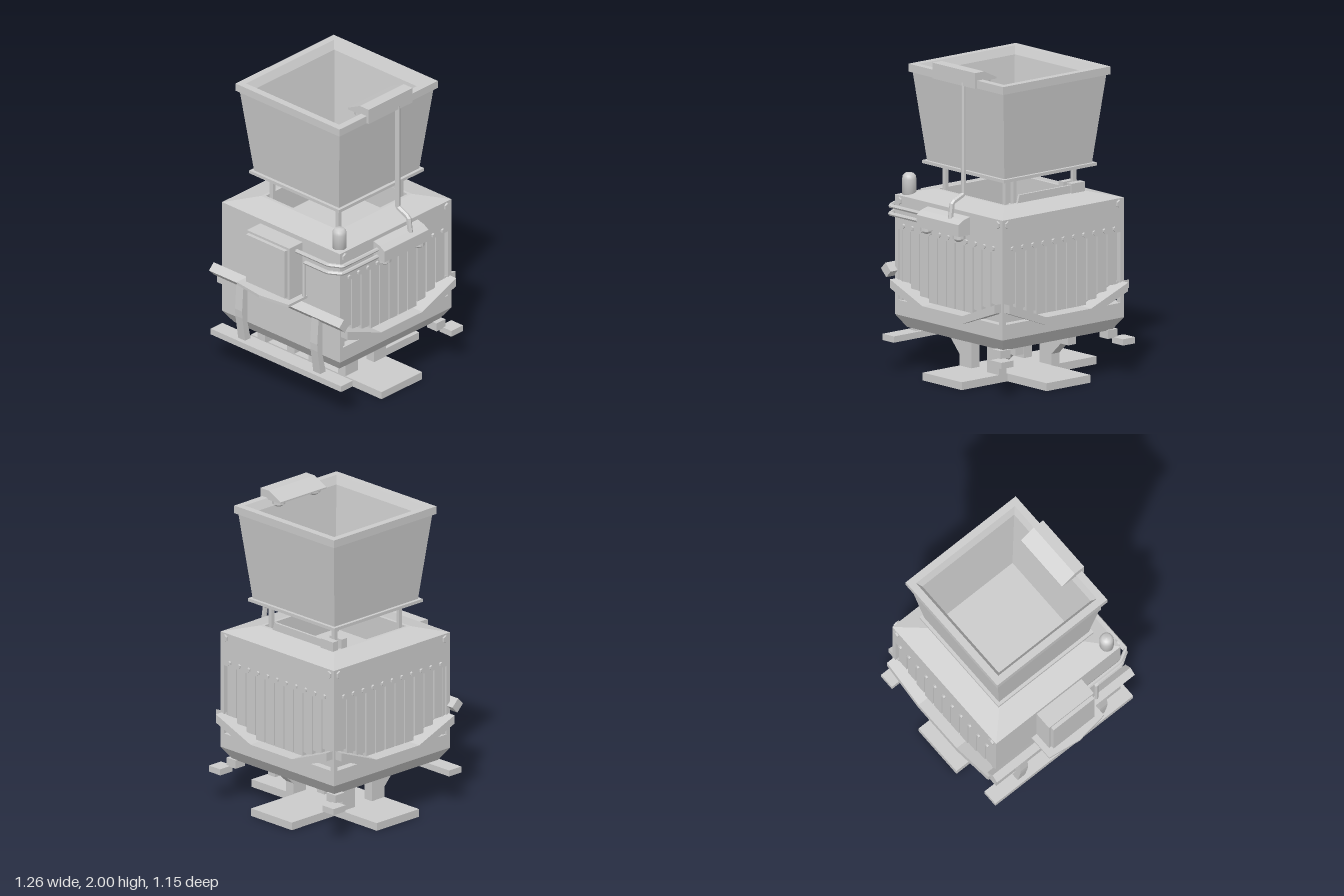
import * as THREE from 'three';

const CX = 0.073, CZ = -0.025; // shared centre of body, hopper and base

export function createModel() {
  const model = new THREE.Group();
  const flat = new THREE.MeshStandardMaterial({ color: 0xcccccc, flatShading: true, side: THREE.DoubleSide });
  const smooth = new THREE.MeshStandardMaterial({ color: 0xcccccc });

  const add = (name, geo, parent = model, mat = flat) => {
    const mesh = new THREE.Mesh(geo, mat);
    mesh.name = name;
    parent.add(mesh);
    return mesh;
  };
  // box from its min and max corners
  const box = (name, [x0, y0, z0], [x1, y1, z1], parent = model) => {
    const m = add(name, new THREE.BoxGeometry(x1 - x0, y1 - y0, z1 - z0), parent);
    m.position.set((x0 + x1) / 2, (y0 + y1) / 2, (z0 + z1) / 2);
    return m;
  };
  // square shell from [half width, height] pairs
  const square = (name, profile, parent) => {
    const pts = profile.map(([h, y]) => new THREE.Vector2(h * Math.SQRT2, y));
    return add(name, new THREE.LatheGeometry(pts, 4, Math.PI / 4), parent);
  };
  const extrude = (pts, depth) => new THREE.ExtrudeGeometry(
    new THREE.Shape(pts.map(p => new THREE.Vector2(...p))), { depth, bevelEnabled: false });
  // [z, y] outline swept along x
  const sweepX = (name, pts, x0, x1) => {
    const g = extrude(pts.map(([z, y]) => [-z, y]), x1 - x0);
    g.rotateY(Math.PI / 2);
    g.translate(x0, 0, 0);
    return add(name, g);
  };
  const pipe = (name, pts, r) => {
    const path = new THREE.CurvePath();
    const v = pts.map(p => new THREE.Vector3(...p));
    for (let i = 1; i < v.length; i++) path.add(new THREE.LineCurve3(v[i - 1], v[i]));
    return add(name, new THREE.TubeGeometry(path, 48, r, 6));
  };

  const core = new THREE.Group();
  core.name = 'centredBody';
  core.position.set(CX, 0, CZ);
  model.add(core);

  // Body: tub, inner core, hollow collar with sloping roof
  square('tub', [[0, 0.28], [0.45, 0.28], [0.502, 0.36], [0.502, 0.455], [0, 0.455]], core);
  square('innerCore', [[0.455, 0.45], [0.455, 0.98], [0, 0.98]], core);
  square('collar', [[0.455, 0.905], [0.502, 0.905], [0.502, 1.12], [0.33, 1.16], [0.31, 1.16], [0.31, 0.98]], core);
  box('sidePanel', [-0.502, 0.455, -0.49], [-0.45, 0.91, 0.49], core);
  for (const sx of [-1, 1]) for (const sz of [-1, 1]) {
    const x = sx * 0.487, z = sz * 0.487;
    box('cornerPost', [x - 0.015, 0.45, z - 0.015], [x + 0.015, 0.92, z + 0.015], core);
  }

  // Slatted faces with bolts and a V-shaped guard bar: front, left and back
  const boltGeo = r => new THREE.CylinderGeometry(r, r, 0.026, 6).rotateX(Math.PI / 2);
  const guard = [[-0.49, 0.59], [-0.185, 0.47], [0.185, 0.47], [0.49, 0.59],
    [0.49, 0.535], [0.185, 0.42], [-0.185, 0.42], [-0.49, 0.535]];
  for (let f = 0; f < 3; f++) {
    const face = new THREE.Group();
    face.name = ['frontFace', 'leftFace', 'backFace'][f];
    face.rotation.y = f * Math.PI / 2;
    core.add(face);
    for (let i = -5; i <= 5; i++) {
      const u = i * 0.084;
      const low = 0.48 + Math.max(0, Math.abs(u) - 0.185) * 0.4;
      box('slat', [u - 0.037, low, 0.45], [u + 0.037, 0.91, 0.485], face);
      add('bolt', boltGeo(0.015), face).position.set(u, 0.932, 0.502);
    }
    for (const s of [-1, 1]) add('cornerBolt', boltGeo(0.025), face).position.set(s * 0.46, 1.087, 0.502);
    add('guardBar', extrude(guard, 0.1), face).position.z = 0.455;
  }

  // Base: three-armed floor plate, legs, rail and pads
  const base = [[-0.183, -0.555], [0.183, -0.555], [0.183, -0.18], [0.552, -0.18],
    [0.552, 0.18], [0.183, 0.18], [0.183, 0.555], [-0.183, 0.555]];
  add('floorPlate', extrude(base, 0.05).rotateX(-Math.PI / 2), core);
  for (const z of [-0.217, 0.217]) {
    const legs = [
      [[-0.073, 0.04], [-0.073, 0.285], [-0.45, 0.285], [-0.45, 0.225], [-0.28, 0.225], [-0.183, 0.12], [-0.183, 0.04]],
      [[0.073, 0.04], [0.183, 0.04], [0.183, 0.12], [0.27, 0.2], [0.34, 0.2], [0.34, 0.285], [0.073, 0.285]]];
    for (const pts of legs) add('leg', extrude(pts, 0.065), core).position.z = z - 0.0325;
  }
  box('sideRail', [-0.48, 0.195, -0.575], [-0.375, 0.235, 0.535]);
  for (const z of [-0.525, 0.48]) {
    box('pad', [0.52, 0.195, z - 0.05], [0.625, 0.235, z + 0.05]);
    const inner = z - Math.sign(z) * 0.06;
    box('padMount', [0.46, 0.23, inner - 0.04], [0.54, 0.285, inner + 0.04]);
  }

  // Side beam turned on its edge, carried by two bent braces
  const beam = box('sideBeam', [-0.03, -0.035, -0.555], [0.03, 0.035, 0.555]);
  beam.position.set(-0.45, 0.645, -0.02);
  beam.rotation.z = Math.PI / 4;
  const brace = [[-0.45, 0.235], [-0.40, 0.235], [-0.43, 0.36], [-0.42, 0.47], [-0.42, 0.63], [-0.465, 0.63], [-0.478, 0.45], [-0.475, 0.4]];
  for (const z of [-0.34, 0.3]) add('beamBrace', extrude(brace, 0.06)).position.z = z - 0.03;

  // Control cabinet on its shelf
  box('cabinet', [-0.55, 0.73, -0.2], [-0.42, 1.09, 0.16]);
  box('cabinetDoor', [-0.575, 0.745, -0.185], [-0.55, 1.075, 0.145]);
  const shelf = [[-0.42, 0.24], [-0.6, 0.24], [-0.63, 0.02], [-0.6, -0.2], [-0.42, -0.2]];
  add('cabinetShelf', extrude(shelf, 0.018).rotateX(-Math.PI / 2)).position.y = 0.712;
  const gusset = [[-0.59, 0.714], [-0.43, 0.714], [-0.43, 0.66], [-0.47, 0.695]];
  for (const z of [-0.15, 0.1]) add('shelfGusset', extrude(gusset, 0.02)).position.z = z;

  // Hopper with rim, base lip and supports
  square('hopper', [[0, 1.32], [0.383, 1.32], [0.383, 1.34], [0.362, 1.34], [0.425, 1.9],
    [0.443, 1.9], [0.443, 1.95], [0.397, 1.95], [0.37, 1.9], [0.286, 1.35], [0, 1.35]], core);
  for (const x of [-0.28, 0.28]) for (const z of [-0.28, 0.28])
    box('hopperPost', [x - 0.013, 0.98, z - 0.013], [x + 0.013, 1.33, z + 0.013], core);
  sweepX('roofFlap', [[0.2, 1.15], [0.18, 1.21], [-0.35, 1.21], [-0.35, 1.15]], 0.385, 0.4);
  box('postClamp', [0.29, 1.1, -0.35], [0.335, 1.22, -0.24]);
  box('postClamp', [0.365, 1.1, -0.35], [0.41, 1.22, -0.24]);

  // Lamp housings with round lamps underneath
  sweepX('upperLampHousing', [[0.435, 1.9], [0.435, 2], [0.36, 2], [0.257, 1.95], [0.257, 1.94], [0.41, 1.94], [0.41, 1.9]], -0.125, 0.272);
  sweepX('lowerLampHousing', [[0.475, 0.98], [0.475, 1.095], [0.53, 1.08], [0.57, 1.055], [0.57, 0.98]], -0.125, 0.272);
  for (const [y, z] of [[1.94, 0.32], [0.98, 0.527]]) for (const x of [-0.077, 0.225]) {
    add('lampCollar', new THREE.CylinderGeometry(0.042, 0.042, 0.025, 12)).position.set(x, y - 0.01, z);
    const lamp = add('lamp', new THREE.SphereGeometry(0.036, 12, 8), model, smooth);
    lamp.position.set(x, y - 0.015, z);
    lamp.scale.y = 0.8;
  }

  // Conduits
  pipe('lampConduit', [[0.15, 1.92, 0.422], [0.15, 1.21, 0.422], [0.15, 1.17, 0.515], [0.15, 1.07, 0.53]], 0.017);
  pipe('upperConduit', [[-0.12, 1.05, 0.51], [-0.44, 1.05, 0.51], [-0.485, 1.05, 0.43], [-0.485, 1.05, 0.15]], 0.013);
  pipe('lowerConduit', [[-0.12, 1.0, 0.51], [-0.44, 1.0, 0.51], [-0.49, 1.0, 0.43], [-0.49, 1.0, 0.23], [-0.49, 0.76, 0.23]], 0.013);

  // Beacon
  const beacon = [[0, 1.11], [0.045, 1.11], [0.045, 1.22], [0.041, 1.242], [0.028, 1.256], [0, 1.26]];
  add('beacon', new THREE.LatheGeometry(beacon.map(p => new THREE.Vector2(...p)), 20), model, smooth).position.set(-0.367, 0, 0.415);

  return model;
}
